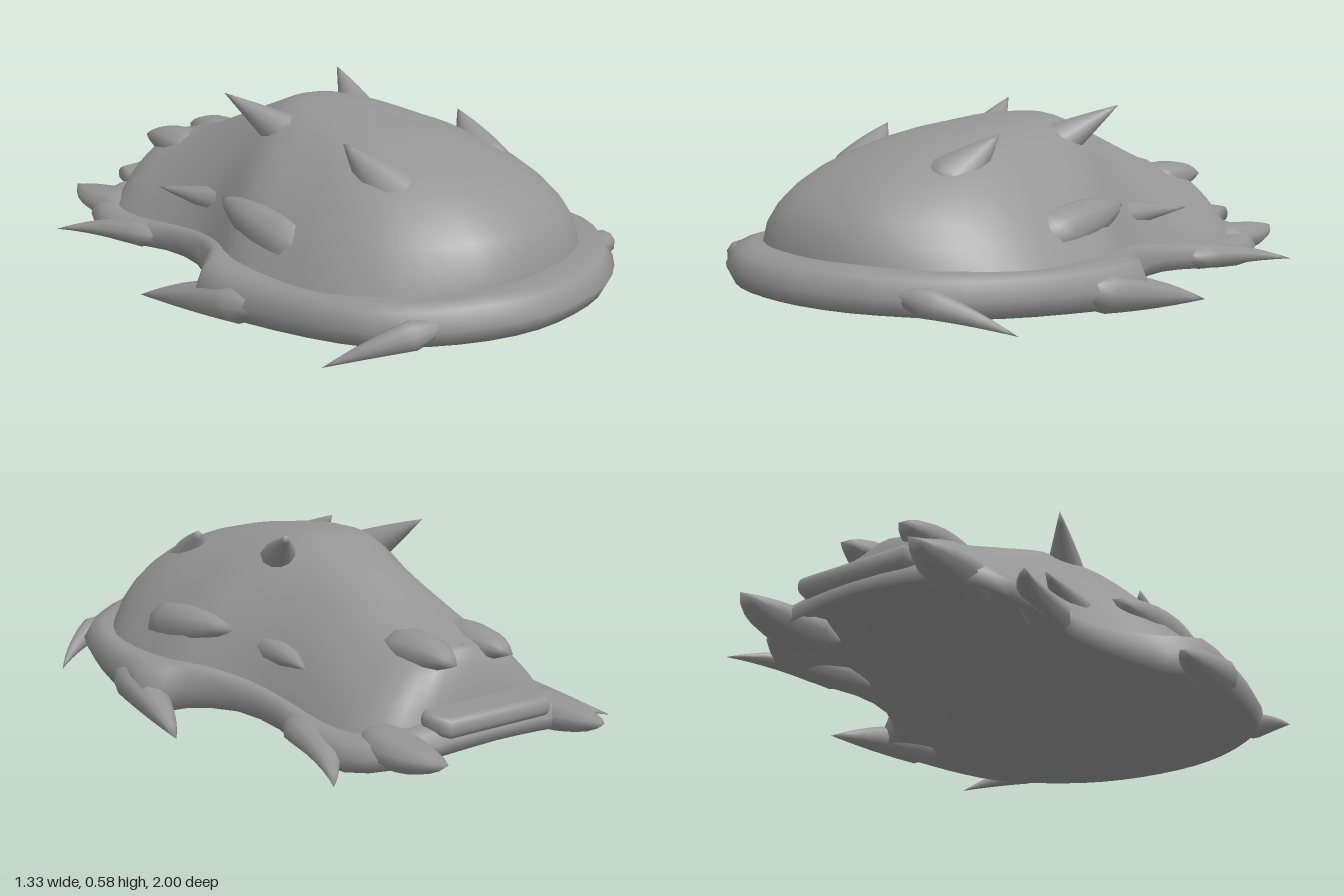
import * as THREE from 'three';
import { mergeVertices } from 'three/addons/utils/BufferGeometryUtils.js';

const material = new THREE.MeshStandardMaterial({ color: 0x959595, side: THREE.DoubleSide });
const V = (x, y, z) => new THREE.Vector3(x, y, z);

// Half outline, front to back: outer rim x,z | dome foot x,z | ridge y,z | rim bottom, rim top
const ROWS = [
  [0, .995, 0, .87, .55, .2, .1, .21],
  [.16, .98, .13, .86, .55, .2, .1, .21],
  [.31, .915, .25, .82, .55, .2, .095, .21],
  [.45, .81, .37, .73, .55, .2, .09, .2],
  [.55, .68, .46, .62, .555, .18, .08, .195],
  [.605, .48, .525, .47, .56, .15, .065, .185],
  [.635, .25, .535, .3, .57, .08, .05, .18],
  [.64, .06, .52, .1, .575, -.01, .035, .185],
  [.535, -.01, .45, -.04, .57, -.1, .05, .18],
  [.445, -.17, .39, -.19, .53, -.2, .065, .16],
  [.415, -.36, .37, -.36, .465, -.35, .055, .14],
  [.44, -.55, .37, -.54, .39, -.52, .04, .125],
  [.43, -.71, .35, -.67, .36, -.62, .035, .125],
  [.34, -.83, .27, -.76, .34, -.68, .06, .14],
  [.18, -.86, .15, -.78, .335, -.7, .08, .16],
  [0, -.87, 0, -.78, .335, -.71, .09, .165],
];
const DOME_STEPS = 9;

function rimSection([ox, oz, gx, gz, , sz, yb, yt]) {
  return [
    V(0, .15, sz),
    V(ox * .5, .135, sz + (oz - sz) * .5),
    V(ox * .82, yb + .03, sz + (oz - sz) * .82),
    V(ox * .96, yb, sz + (oz - sz) * .97),
    V(ox, yb * .55 + yt * .45, oz),
    V(gx + (ox - gx) * .72, yt - .012, gz + (oz - gz) * .72),
    V(gx + (ox - gx) * .35, yt, gz + (oz - gz) * .35),
    V(gx, yt, gz),
  ];
}

// Rounded at the front, with straighter sloping flanks further back
function domeSection([, , gx, gz, sy, sz, , yt]) {
  const slope = THREE.MathUtils.clamp((.85 - gz) * 2, 0, 1);
  return Array.from({ length: DOME_STEPS + 1 }, (_, j) => {
    const t = j / DOME_STEPS * Math.PI / 2, s = Math.sin(t);
    const c = Math.pow(Math.max(0, Math.cos(t)), 1.15 - .4 * slope) * (1 - .38 * slope * s);
    return V(gx * c, yt + (sy - yt) * s, sz + (gz - sz) * c);
  });
}

// Skins a closed ring of mirrored sections, smoothed around the outline
function ringSkin(name, section) {
  const half = ROWS.map(section);
  const mirrored = half.slice(1, -1).reverse().map(s => s.map(p => V(-p.x, p.y, p.z)));
  const sections = [...half, ...mirrored];
  const n = sections.length * 2, m = half[0].length;
  const pos = [], index = [];
  for (let j = 0; j < m; j++) {
    const curve = new THREE.CatmullRomCurve3(sections.map(s => s[j]), true, 'catmullrom', .5);
    for (let i = 0; i < n; i++) pos.push(...curve.getPoint(i / n).toArray());
  }
  for (let j = 0; j < m - 1; j++) for (let i = 0; i < n; i++) {
    const a = j * n + i, b = j * n + (i + 1) % n;
    index.push(a, b, a + n, b, b + n, a + n);
  }
  const g = new THREE.BufferGeometry();
  g.setAttribute('position', new THREE.Float32BufferAttribute(pos, 3));
  g.setIndex(index);
  return smoothMesh(name, g);
}

function smoothMesh(name, geometry) {
  const merged = mergeVertices(geometry, 1e-4);
  merged.computeVertexNormals();
  const mesh = new THREE.Mesh(merged, material);
  mesh.name = name;
  return mesh;
}

// Curved horn swelling out of the shell and tapering to its tip; a higher power is blunter
function horn(name, base, mid, tip, r, { squash = 1, power = 1.3 } = {}) {
  const curve = new THREE.QuadraticBezierCurve3(V(...base), V(...mid), V(...tip));
  const steps = 10, sides = 10;
  const g = new THREE.TubeGeometry(curve, steps, r, sides, false);
  const p = g.attributes.position, v = new THREE.Vector3();
  for (let i = 0; i < p.count; i++) {
    const t = Math.floor(i / (sides + 1)) / steps;
    const c = curve.getPointAt(t);
    v.fromBufferAttribute(p, i).sub(c);
    v.multiplyScalar((1 - Math.pow(t, power)) * Math.min(1, .1 + t * 3));
    v.y *= squash;
    v.add(c);
    p.setXYZ(i, v.x, v.y, v.z);
  }
  g.deleteAttribute('uv');
  g.deleteAttribute('normal');
  return smoothMesh(name, g);
}

export function createModel() {
  const model = new THREE.Group();
  model.name = 'hornedShell';
  model.add(ringSkin('rimAndUnderside', rimSection), ringSkin('dome', domeSection));

  // Paired horns, given for the left side and mirrored to the right
  const horns = [
    ['crownHorn', [.11, .4, .1], [.18, .49, -.02], [.265, .6, -.2], .1, { power: 1.2 }],
    ['browBump', [.19, .33, .55], [.24, .44, .43], [.275, .54, .325], .11, { power: 1.5 }],
    ['cheekBulge', [.39, .2, .42], [.46, .29, .14], [.385, .3, -.09], .085, { power: 3 }],
    ['flankHorn', [.26, .24, -.02], [.31, .25, -.25], [.355, .25, -.44], .085, { squash: .8 }],
    ['rimFrontSpike', [.38, .15, .82], [.55, .13, .74], [.667, .05, .61], .055],
    ['rimRearSpike', [.575, .12, .38], [.59, .08, .05], [.65, .025, -.185], .075, { squash: .9, power: 2.4 }],
    ['tailSideSpike', [.36, .09, -.32], [.4, .085, -.64], [.52, .05, -.81], .075, { squash: .7, power: 1.8 }],
    ['tailEndHorn', [.27, .12, -.6], [.31, .08, -.82], [.29, .12, -1], .085, { squash: .65, power: 4 }],
    ['tailTopHorn', [.09, .28, -.46], [.1, .33, -.66], [.105, .31, -.81], .085, { squash: .75, power: 3.5 }],
  ];
  for (const side of [1, -1]) {
    const flip = ([x, y, z]) => [x * side, y, z];
    for (const [name, base, mid, tip, r, options] of horns) {
      const prefix = side > 0 ? 'left' : 'right';
      model.add(horn(prefix + name[0].toUpperCase() + name.slice(1), flip(base), flip(mid), flip(tip), r, options));
    }
  }

  // Small rounded plate closing the tail between its end horns
  const plate = new THREE.Shape([[-.15, .72], [.15, .72], [.19, .8], [.17, .865], [-.17, .865], [-.19, .8]]
    .map(([x, y]) => new THREE.Vector2(x, y)));
  const plateGeometry = new THREE.ExtrudeGeometry(plate, {
    depth: .01, bevelEnabled: true, bevelThickness: .025, bevelSize: .02, bevelSegments: 4,
  }).rotateX(-Math.PI / 2).translate(0, .155, 0);
  plateGeometry.deleteAttribute('uv');
  plateGeometry.deleteAttribute('normal');
  model.add(smoothMesh('tailPlate', plateGeometry));
  return model;
}
